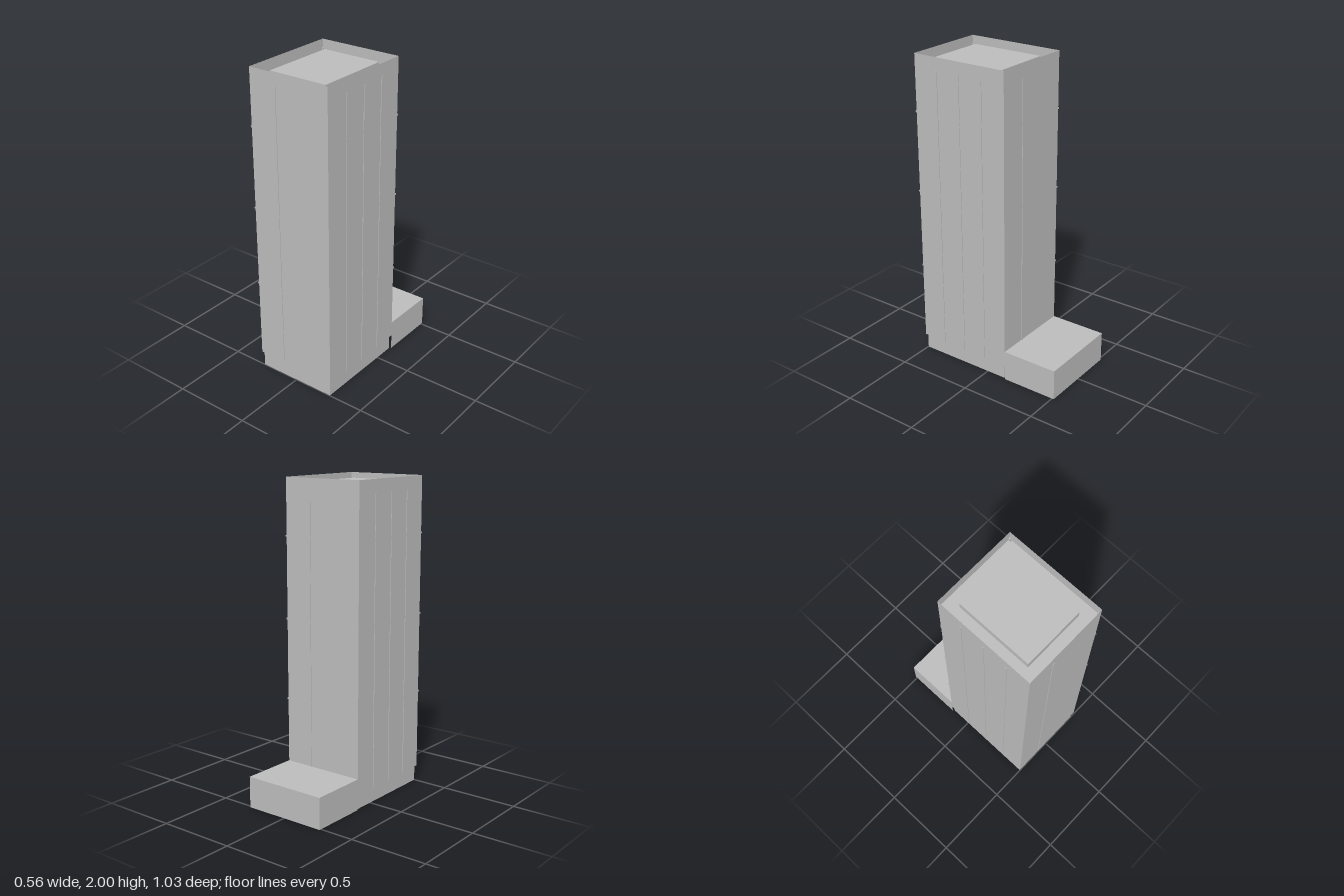
import * as THREE from 'three';

const concrete = new THREE.MeshStandardMaterial({ color: 0xbcbcbc, side: THREE.DoubleSide });
concrete.name = 'concrete grey';

// Tower extents
const HX = 0.275, ZB = -0.142, ZF = 0.508, Y0 = 0.1, ROOF = 1.92, TOP = 2;
const ZC = (ZB + ZF) / 2, DEPTH = ZF - ZB;

// Box faces in order: +x, -x, +y, -y, +z, -z
const FACE = { top: 2, bottom: 3, front: 4 };

// Box from min/max corners, with the listed faces left open
function box(name, x0, x1, y0, y1, z0, z1, open = []) {
  const g = new THREE.BoxGeometry(x1 - x0, y1 - y0, z1 - z0);
  const index = Array.from(g.index.array).filter((_, i) => !open.includes(Math.floor(i / 6)));
  g.setIndex(index);
  g.clearGroups();
  g.translate((x0 + x1) / 2, (y0 + y1) / 2, (z0 + z1) / 2);
  const mesh = new THREE.Mesh(g, concrete);
  mesh.name = name;
  return mesh;
}

export function createModel() {
  const model = new THREE.Group();
  model.name = 'towerBlock';

  // Tower shaft, flat roof and thin parapet
  model.add(box('towerShaft', -HX, HX, Y0, ROOF, ZB, ZF));
  model.add(box('parapet', -HX, HX, ROOF, TOP, ZB, ZF, [FACE.top, FACE.bottom]));

  // Rooftop plant room
  model.add(box('plantRoom', -0.197, 0.197, ROOF, 1.97, -0.062, 0.426, [FACE.bottom]));

  // Small roof posts in the corners
  for (const x of [-0.267, 0.267])
    for (const z of [ZB + 0.009, ZF - 0.009])
      model.add(box('roofPost', x - 0.004, x + 0.004, ROOF, 1.95, z - 0.006, z + 0.006));

  // Recessed hollow plinth
  model.add(box('plinth', -0.265, 0.265, 0, Y0, ZB + 0.01, ZF - 0.01, [FACE.top, FACE.bottom]));

  // Rear annex, open underneath and against the tower
  model.add(box('annex', -HX, HX, 0, 0.2, -0.513, ZB, [FACE.bottom, FACE.front]));

  // Raised facade ribs
  const ribs = new THREE.Group();
  ribs.name = 'facadeRibs';
  model.add(ribs);
  const P = 0.004, W = 0.005;

  // Horizontal bands around all four sides
  for (const y of [0.615, 1.13, 1.645])
    ribs.add(box('floorBand', -HX - P, HX + P, y - W, y + W, ZB - P, ZF + P, [FACE.top, FACE.bottom]));

  // One vertical rib on the front and one on the back
  ribs.add(box('frontRib', -0.092 - W, -0.092 + W, Y0, ROOF, ZF, ZF + P));
  ribs.add(box('backRib', 0.092 - W, 0.092 + W, 0.2, ROOF, ZB - P, ZB));

  // Three vertical ribs on each side
  for (const s of [-1, 1])
    for (const k of [-1, 0, 1]) {
      const z = ZC + k * DEPTH / 4;
      const x = s * (HX + P / 2);
      ribs.add(box('sideRib', x - P / 2, x + P / 2, Y0, ROOF, z - W, z + W));
    }

  return model;
}
